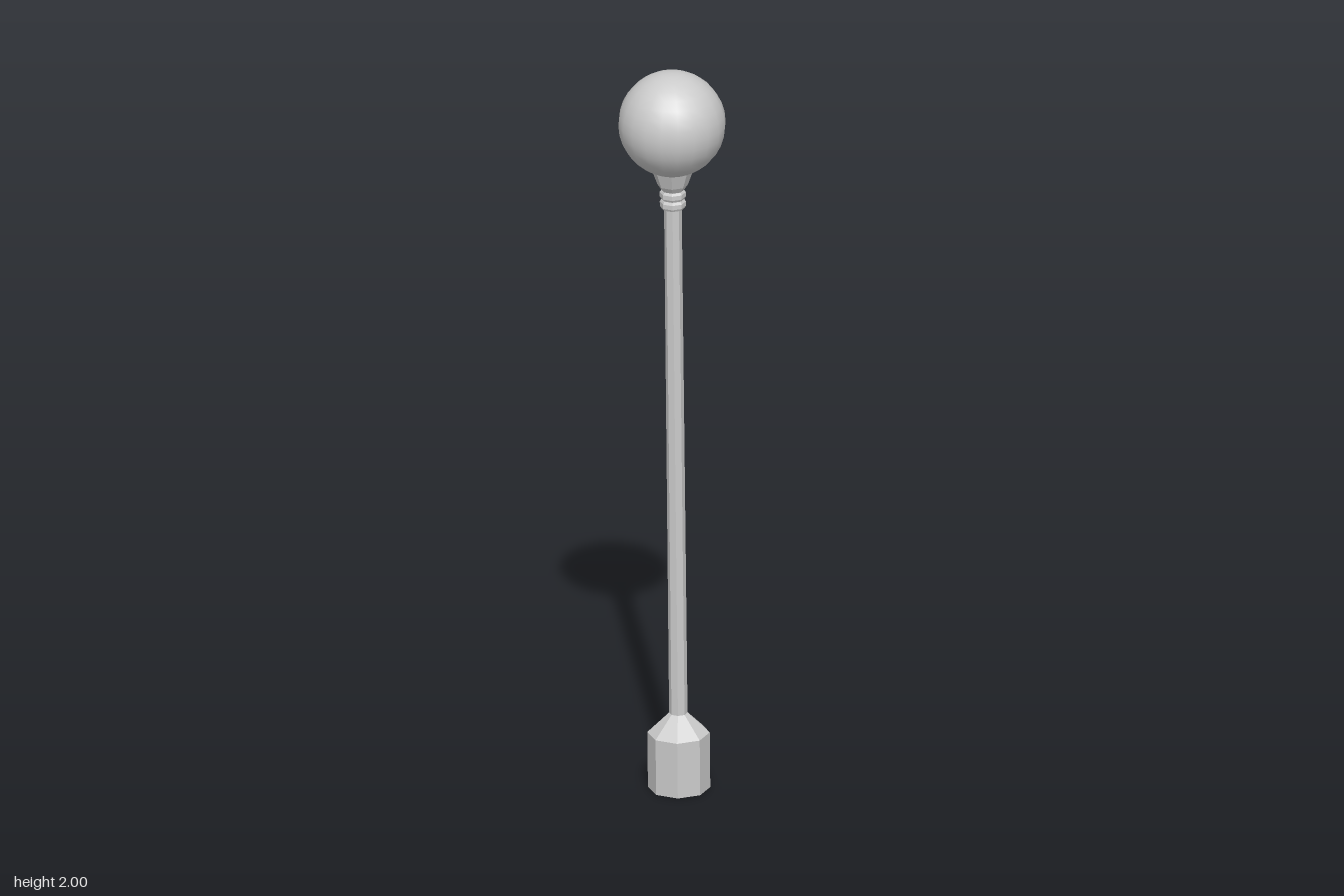
import * as THREE from 'three';

const flat = new THREE.MeshStandardMaterial({ color: 0xcccccc, flatShading: true });
const smooth = new THREE.MeshStandardMaterial({ color: 0xcccccc });

// Eight-sided turned part; points are [radius, height], bottom to top
function turned(name, points) {
  const profile = points.map(([r, y]) => new THREE.Vector2(r, y));
  const mesh = new THREE.Mesh(new THREE.LatheGeometry(profile, 8), flat);
  mesh.name = name;
  return mesh;
}

export function createModel() {
  const model = new THREE.Group();
  model.name = 'globeLamp';
  const globeY = 1.86;

  // Globe
  const globe = new THREE.Mesh(new THREE.SphereGeometry(0.14, 20, 16), smooth);
  globe.name = 'globe';
  globe.position.y = globeY;
  model.add(globe);

  // The post leans slightly, pivoting about the globe
  const lean = new THREE.Group();
  lean.name = 'post';
  lean.position.y = globeY;
  lean.rotation.x = 0.0135;
  model.add(lean);

  const parts = new THREE.Group();
  parts.name = 'postParts';
  parts.position.y = -globeY;
  lean.add(parts);

  // Base with a small socket underneath and a sloped shoulder
  parts.add(turned('base', [
    [0, 0.03], [0.02, 0.03], [0.02, 0.002], [0.081, 0.002], [0.081, 0.155], [0.024, 0.21],
  ]));

  // Pole
  parts.add(turned('pole', [[0.024, 0.2], [0.023, 1.64]]));

  // Two collar rings below the cup
  for (const y of [1.624, 1.65]) {
    parts.add(turned('collarRing', [
      [0.022, y], [0.031, y], [0.034, y + 0.006], [0.034, y + 0.018], [0.03, y + 0.024], [0.022, y + 0.024],
    ]));
  }

  // Flared cup holding the globe
  parts.add(turned('cup', [
    [0.022, 1.672], [0.03, 1.675], [0.04, 1.69], [0.057, 1.738], [0, 1.738],
  ]));

  return model;
}
